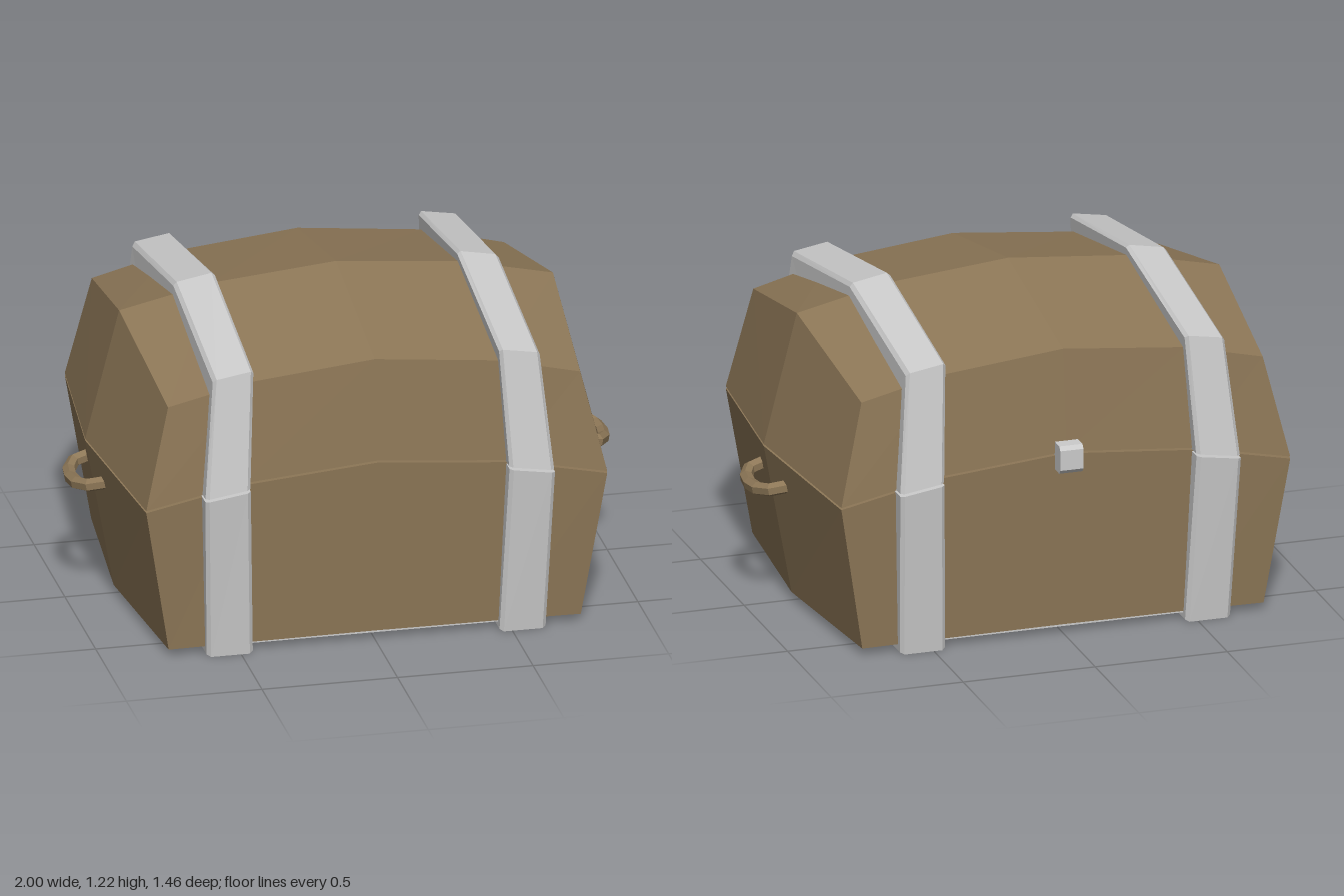
import * as THREE from 'three';

const wood = new THREE.MeshStandardMaterial({ color: 0x8d7757, flatShading: true });
const metal = new THREE.MeshStandardMaterial({ color: 0xcccccc, flatShading: true });

// Skins rings of [x, y, z] running from -x to +x; each cap fans out from its ring's last point
function loft(rings) {
  const n = rings[0].length, pos = [];
  const tri = (a, b, c) => pos.push(...a, ...b, ...c);
  for (let i = 0; i < rings.length - 1; i++) {
    for (let k = 0; k < n; k++) {
      const m = (k + 1) % n;
      const a = rings[i][k], b = rings[i][m], c = rings[i + 1][m], d = rings[i + 1][k];
      tri(a, d, c);
      tri(a, c, b);
    }
  }
  const first = rings[0], last = rings[rings.length - 1];
  for (let k = 0; k < n - 2; k++) {
    tri(first[n - 1], first[k], first[k + 1]);
    tri(last[n - 1], last[k + 1], last[k]);
  }
  const g = new THREE.BufferGeometry();
  g.setAttribute('position', new THREE.Float32BufferAttribute(pos, 3));
  g.computeVertexNormals();
  return g;
}

// Rings from an edge pair (front and back, at +-z) and a centre point
const both = ([x, y, z]) => [[x, y, z], [x, y, -z]];
const mirrorX = ring => ring.map(([x, y, z]) => [-x, y, z]);

function baseRing(bottom, bottomMid, seam, seamMid) {
  const [bf, bb] = both(bottom), [sf, sb] = both(seam);
  return [bf, sf, seamMid, sb, bb, bottomMid];
}

function lidRing(seam, seamMid, eave, ridge) {
  const [sf, sb] = both(seam), [ef, eb] = both(eave);
  return [sf, ef, ridge, eb, sb, seamMid];
}

function add(parent, name, geometry, material) {
  const mesh = new THREE.Mesh(geometry, material);
  mesh.name = name;
  parent.add(mesh);
  return mesh;
}

export function createModel() {
  const chest = new THREE.Group();
  chest.name = 'chest';
  const gap = 0.008;

  // Wooden base: middle, strap and end sections
  const base = [
    baseRing([0, 0.035, 0.635], [0, 0.035, 0], [0, 0.71 - gap, 0.668], [0, 0.71 - gap, 0]),
    baseRing([0.47, 0.032, 0.633], [0.47, 0.032, 0], [0.49, 0.666 - gap, 0.666], [0.49, 0.666 - gap, 0]),
    baseRing([0.76, 0.028, 0.63], [0.82, 0.03, 0], [0.85, 0.589 - gap, 0.663], [0.925, 0.61 - gap, 0]),
  ];
  // Wooden lid with a bowed ridge
  const lid = [
    lidRing([0, 0.71, 0.668], [0, 0.71, 0], [0, 1.09, 0.63], [0, 1.217, 0]),
    lidRing([0.49, 0.666, 0.666], [0.49, 0.666, 0], [0.46, 1.042, 0.628], [0.46, 1.174, 0]),
    lidRing([0.85, 0.589, 0.663], [0.925, 0.61, 0], [0.76, 0.968, 0.62], [0.8, 1.098, 0]),
  ];
  const fullLength = half => [mirrorX(half[2]), mirrorX(half[1]), ...half];
  add(chest, 'base', loft(fullLength(base)), wood);
  add(chest, 'lid', loft(fullLength(lid)), wood);

  // Metal plate under the base
  add(chest, 'bottomPlate', new THREE.BoxGeometry(0.96, 0.02, 1.25), metal).position.y = 0.034;

  // Metal straps: t runs across the width, d is the chamfer inset at the rims
  const mix = THREE.MathUtils.lerp;
  const across = [[0, 0.012], [0.08, 0], [0.92, 0], [1, 0.012]];
  const strapBase = across.map(([t, d]) => {
    const xb = mix(0.455, 0.625, t), xs = mix(0.477, 0.645, t), ys = mix(0.662, 0.636, t) - gap;
    return baseRing([xb, d * 0.5, 0.665 - d], [xb, d * 0.5, 0], [xs, ys, 0.73 - d], [xs, ys, 0]);
  });
  const strapLid = across.map(([t, d]) => {
    const xs = mix(0.477, 0.643, t), ys = mix(0.662, 0.636, t), xe = mix(0.453, 0.603, t);
    return lidRing([xs, ys, 0.724 - d], [xs, ys, 0],
      [xe, mix(1.1, 1.075, t) - d, 0.665 - d], [mix(0.447, 0.6, t), mix(1.215, 1.187, t) - d, 0]);
  });
  const flipped = rings => rings.map(mirrorX).reverse();
  add(chest, 'leftBaseStrap', loft(strapBase), metal);
  add(chest, 'leftLidStrap', loft(strapLid), metal);
  add(chest, 'rightBaseStrap', loft(flipped(strapBase)), metal);
  add(chest, 'rightLidStrap', loft(flipped(strapLid)), metal);

  // Faceted carrying handles on both ends
  for (const side of [1, -1]) {
    const path = new THREE.CatmullRomCurve3([
      [0.88, 0.49, 0.135], [0.945, 0.477, 0.115], [0.974, 0.467, 0.05],
      [0.974, 0.467, -0.05], [0.945, 0.477, -0.115], [0.88, 0.49, -0.135],
    ].map(([x, y, z]) => new THREE.Vector3(side * x, y, z)));
    add(chest, side > 0 ? 'leftHandle' : 'rightHandle', new THREE.TubeGeometry(path, 6, 0.025, 6), wood);
  }

  // Latch over the seam at the back
  const latchShape = new THREE.Shape([[-0.65, 0.645], [-0.715, 0.645], [-0.727, 0.66], [-0.727, 0.735], [-0.715, 0.75], [-0.65, 0.75]]
    .map(([z, y]) => new THREE.Vector2(-z, y)));
  const latch = add(chest, 'latch', new THREE.ExtrudeGeometry(latchShape, { depth: 0.088, bevelEnabled: false }), metal);
  latch.rotation.y = Math.PI / 2;
  latch.position.x = -0.046;

  return chest;
}
